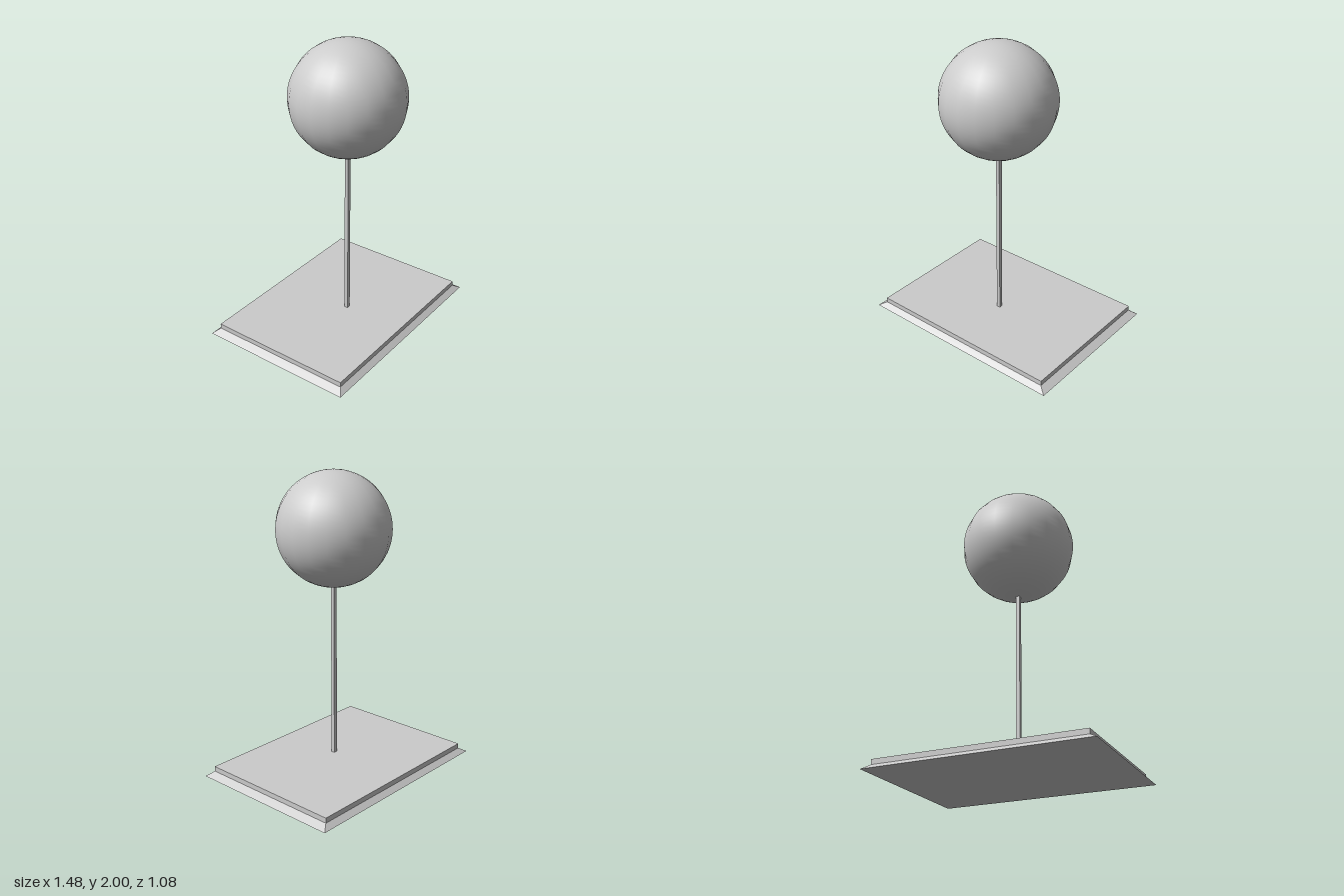
import * as THREE from 'three';

const material = new THREE.MeshStandardMaterial({ color: 0xcccccc });

function addPart(group, name, geometry, x, y, z) {
  const mesh = new THREE.Mesh(geometry, material);
  mesh.name = name;
  mesh.position.set(x, y, z);
  group.add(mesh);
}

// Box whose upper face is narrowed to topWidth x topDepth
function bevelledSlab(width, height, depth, topWidth, topDepth) {
  const geometry = new THREE.BoxGeometry(width, height, depth);
  const p = geometry.attributes.position;
  for (let i = 0; i < p.count; i++) {
    if (p.getY(i) > 0) {
      p.setX(i, Math.sign(p.getX(i)) * topWidth / 2);
      p.setZ(i, Math.sign(p.getZ(i)) * topDepth / 2);
    }
  }
  geometry.computeVertexNormals();
  return geometry;
}

export function createModel() {
  const group = new THREE.Group();
  const poleX = -0.014, poleZ = 0.065;

  // Stepped base: sloping skirt with a straight plinth on top
  addPart(group, 'baseSkirt', bevelledSlab(1.476, 0.03, 1.08, 1.374, 1.006), 0, 0.015, 0);
  addPart(group, 'basePlinth', new THREE.BoxGeometry(1.374, 0.034, 1.006), 0, 0.047, 0);

  // Slim square pole, its ends set into the plinth and ball
  addPart(group, 'pole', new THREE.BoxGeometry(0.026, 1.21, 0.026), poleX, 0.655, poleZ);

  // Smooth ball
  addPart(group, 'ball', new THREE.SphereGeometry(0.376, 20, 32), poleX, 1.624, poleZ);

  return group;
}
